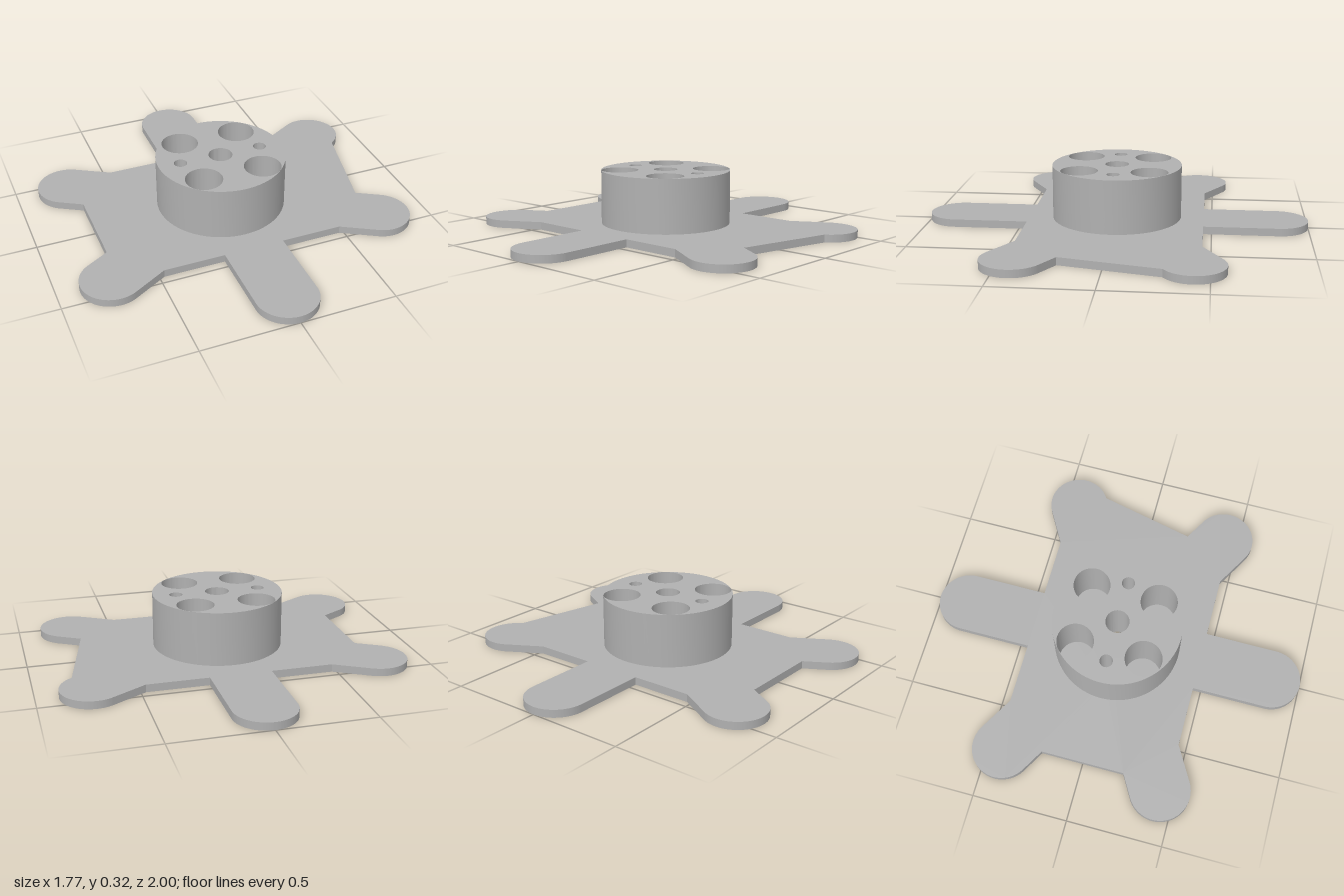
import * as THREE from 'three';
import { toCreasedNormals } from 'three/addons/utils/BufferGeometryUtils.js';

const PLATE_TOP = 0.04, BOSS_TOP = 0.32;
const ARM_RADIUS = 0.158, ARM_REACH = 0.842;
const HALF_W = 0.695, HALF_D = 0.457;

const circle = (x, y, r) => new THREE.Path().absarc(x, y, r, 0, Math.PI * 2, false);

// Centre bore and two screw holes, running through everything
const throughHoles = () => [circle(0, 0, 0.062), circle(0.22, 0, 0.034), circle(-0.22, 0, 0.034)];

// Extrude upward from y0 to y1, smooth on curves and sharp at edges
function solid(name, shape, y0, y1, material) {
  const geo = new THREE.ExtrudeGeometry(shape, { depth: y1 - y0, bevelEnabled: false, curveSegments: 40 });
  geo.rotateX(-Math.PI / 2);
  geo.translate(0, y0, 0);
  const mesh = new THREE.Mesh(toCreasedNormals(geo, Math.PI / 7), material);
  mesh.name = name;
  return mesh;
}

// Rectangle with six round-ended arms, one every 60 degrees
function plateShape() {
  const shape = new THREE.Shape();
  const c = Math.cos(Math.PI / 6), s = 0.5;
  // Points where the diagonal arms leave the rectangle
  const tSide = (HALF_W - ARM_RADIUS * s) / c;
  const sideZ = tSide * s - ARM_RADIUS * c;
  const tEnd = (HALF_D - ARM_RADIUS * c) / s;
  const endX = tEnd * c - ARM_RADIUS * s;
  const gaps = [
    [[endX, HALF_D], [ARM_RADIUS, HALF_D]],
    [[-ARM_RADIUS, HALF_D], [-endX, HALF_D]],
    [[-HALF_W, sideZ], [-HALF_W, -sideZ]],
    [[-endX, -HALF_D], [-ARM_RADIUS, -HALF_D]],
    [[ARM_RADIUS, -HALF_D], [endX, -HALF_D]],
    [[HALF_W, -sideZ]],
  ];
  shape.moveTo(HALF_W, sideZ);
  gaps.forEach((corners, i) => {
    const a = Math.PI / 6 + i * Math.PI / 3;
    shape.absarc(Math.cos(a) * ARM_REACH, Math.sin(a) * ARM_REACH, ARM_RADIUS, a - Math.PI / 2, a + Math.PI / 2, false);
    corners.forEach(([x, y]) => shape.lineTo(x, y));
  });
  shape.closePath();
  shape.holes = throughHoles();
  return shape;
}

// Round boss with four large pockets ending at the plate
function bossShape() {
  const shape = new THREE.Shape().absarc(0, 0, 0.338, 0, Math.PI * 2, false);
  shape.holes = throughHoles();
  for (const x of [-0.16, 0.16])
    for (const y of [-0.18, 0.18]) shape.holes.push(circle(x, y, 0.096));
  return shape;
}

export function createModel() {
  const group = new THREE.Group();
  group.name = 'sixArmHub';
  const grey = new THREE.MeshStandardMaterial({ color: 0xb0b0b0 });
  grey.name = 'grey';
  group.add(
    solid('armPlate', plateShape(), 0, PLATE_TOP, grey),
    solid('boss', bossShape(), PLATE_TOP, BOSS_TOP, grey),
  );
  return group;
}
